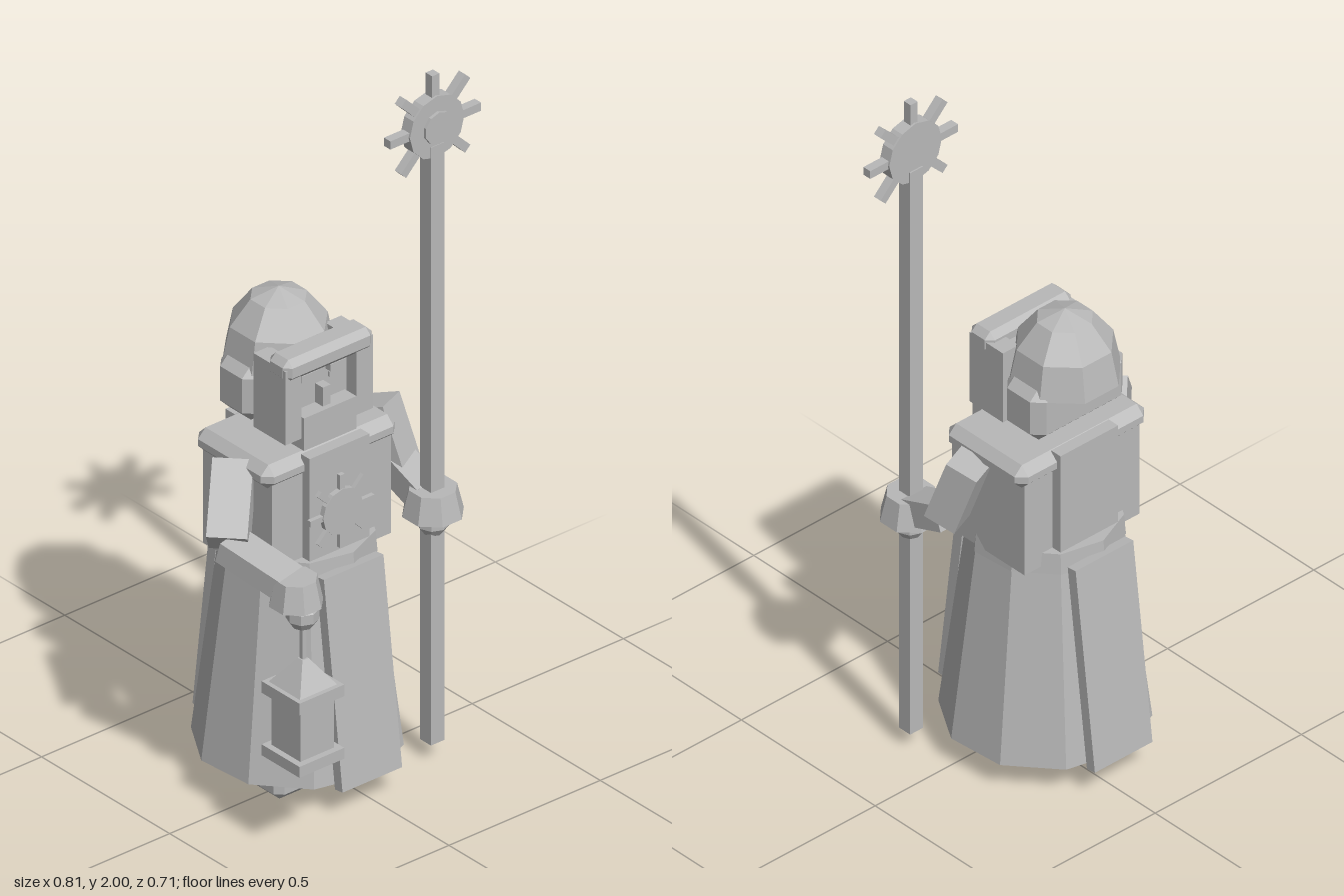
import * as THREE from 'three';
import { ConvexGeometry } from 'three/addons/geometries/ConvexGeometry.js';

const stone = new THREE.MeshStandardMaterial({ color: 0xb8b8b8, flatShading: true, side: THREE.DoubleSide });
stone.name = 'stone grey';

const CX = -0.027; // centre line of the body

export function createModel() {
  const root = new THREE.Group();
  root.name = 'lanternBearer';

  const add = (name, geo, x = 0, y = 0, z = 0, parent = root) => {
    const m = new THREE.Mesh(geo, stone);
    m.name = name;
    m.position.set(x, y, z);
    parent.add(m);
    return m;
  };

  // Box given by its limits on each axis
  const box = (name, [x0, x1], [y0, y1], [z0, z1], parent) =>
    add(name, new THREE.BoxGeometry(x1 - x0, y1 - y0, z1 - z0),
      (x0 + x1) / 2, (y0 + y1) / 2, (z0 + z1) / 2, parent);

  // Box with every edge cut off by b
  const bevelBox = (name, [x0, x1], [y0, y1], [z0, z1], b) => {
    const h = [(x1 - x0) / 2, (y1 - y0) / 2, (z1 - z0) / 2];
    const pts = [];
    for (const sx of [-1, 1]) for (const sy of [-1, 1]) for (const sz of [-1, 1]) {
      for (let a = 0; a < 3; a++) {
        const e = h.map((v, i) => (i === a ? v : v - b));
        pts.push(new THREE.Vector3(sx * e[0], sy * e[1], sz * e[2]));
      }
    }
    return add(name, new ConvexGeometry(pts), (x0 + x1) / 2, (y0 + y1) / 2, (z0 + z1) / 2);
  };

  // Box running from point a to point b
  const limb = (name, a, b, w, d) => {
    const A = new THREE.Vector3(...a), B = new THREE.Vector3(...b);
    const m = add(name, new THREE.BoxGeometry(w, d, A.distanceTo(B)));
    m.position.copy(A).add(B).multiplyScalar(0.5);
    m.lookAt(B);
    return m;
  };

  // Sun: disc with eight rays, facing +z
  const sun = (name, x, y, z, r, rayOut, rayW, depth, bossR) => {
    const g = new THREE.Group();
    g.name = name;
    g.position.set(x, y, z);
    root.add(g);
    add('disc', new THREE.CylinderGeometry(r, r, depth, 12), 0, 0, 0, g).rotation.x = Math.PI / 2;
    if (bossR) {
      add('boss', new THREE.CylinderGeometry(bossR, bossR, 0.01, 10), 0, 0, depth / 2 + 0.004, g)
        .rotation.x = Math.PI / 2;
    }
    const inner = r * 0.95;
    for (let i = 0; i < 8; i++) {
      const t = i * Math.PI / 4, c = (inner + rayOut) / 2;
      add('ray', new THREE.BoxGeometry(rayOut - inner, rayW, depth * 0.7),
        Math.cos(t) * c, Math.sin(t) * c, 0, g).rotation.z = t;
    }
  };

  // Boots and legs
  for (const s of [-1, 1]) {
    const x = -0.029 + s * 0.099;
    bevelBox('boot', [x - 0.068, x + 0.068], [0, 0.075], [-0.125, 0.066], 0.02);
    box('leg', [x - 0.045, x + 0.045], [0.07, 0.6], [-0.115, -0.02]);
  }

  // Ten-sided open robe skirt and belt
  const twist = THREE.MathUtils.degToRad(4.7);
  add('skirt', new THREE.CylinderGeometry(0.2, 0.272, 0.58, 10, 1, true), CX, 0.37, -0.06).rotation.y = twist;
  add('belt', new THREE.CylinderGeometry(0.2, 0.205, 0.06, 10), CX, 0.67, -0.06).rotation.y = twist;

  // Torso and shoulder yoke
  box('torso', [-0.225, 0.168], [0.66, 0.97], [-0.195, 0.075]);
  bevelBox('shoulders', [-0.248, 0.195], [0.93, 1.0], [-0.212, 0.083], 0.025);

  // Tabard, upper and hanging panels
  const tab = [-0.125, 0.072];
  box('frontTabard', tab, [0.66, 1.0], [0.07, 0.104]);
  box('backTabard', tab, [0.64, 1.0], [-0.225, -0.19]);
  limb('frontPanel', [CX, 0.67, 0.145], [CX, 0.08, 0.218], 0.197, 0.03);
  limb('backPanel', [CX, 0.67, -0.266], [CX, 0.08, -0.338], 0.197, 0.03);
  sun('chestSun', CX, 0.817, 0.11, 0.066, 0.106, 0.016, 0.018);

  // Neck, face and beard
  box('neck', [-0.09, 0.035], [0.98, 1.06], [-0.12, 0]);
  box('face', [-0.13, 0.075], [1.03, 1.24], [-0.12, 0.025]);
  box('beard', [-0.115, 0.058], [1.005, 1.1], [0, 0.07]);
  box('nose', [CX - 0.013, CX + 0.013], [1.09, 1.155], [0.02, 0.055]);
  for (const s of [-1, 1]) {
    const x = CX + s * 0.047;
    box('eye', [x - 0.018, x + 0.018], [1.16, 1.175], [0.024, 0.032]);
    box('eyebrow', [x - 0.026, x + 0.026], [1.185, 1.205], [0.02, 0.045]);
    // Hood cheek
    const c = CX + s * 0.118;
    box('hoodCheek', [c - 0.027, c + 0.027], [1.04, 1.255], [-0.06, 0.064]);
  }

  // Hood: brow, back and dome
  bevelBox('hoodBrow', [-0.173, 0.12], [1.215, 1.28], [-0.012, 0.073], 0.018);
  bevelBox('hoodBack', [-0.185, 0.131], [1.04, 1.2], [-0.205, -0.06], 0.03);
  const dome = add('hoodDome', new THREE.SphereGeometry(0.15, 8, 3, 0, Math.PI * 2, 0, Math.PI / 2), CX, 1.168, -0.133);
  dome.scale.y = 1.31;
  dome.rotation.y = Math.PI / 8;

  // Arms
  limb('rightUpperArm', [-0.235, 0.955, -0.06], [-0.345, 0.81, 0.045], 0.105, 0.1);
  limb('rightForearm', [-0.345, 0.81, 0.05], [-0.297, 0.755, 0.25], 0.1, 0.06);
  limb('leftUpperArm', [0.232, 0.965, -0.058], [0.255, 0.785, 0], 0.09, 0.09);
  limb('leftForearm', [0.255, 0.8, -0.01], [0.255, 0.755, 0.11], 0.085, 0.075);

  // Gloves: flared cuff over a small fist
  const glove = (name, x, z, r, fistZ) => {
    add(name + 'Cuff', new THREE.CylinderGeometry(r * 0.78, r, 0.075, 8), x, 0.752, z).rotation.y = Math.PI / 8;
    add(name + 'Fist', new THREE.SphereGeometry(0.045, 8, 5), x, 0.695, fistZ);
  };
  glove('rightHand', -0.298, 0.255, 0.072, 0.28);
  glove('leftHand', 0.256, 0.135, 0.082, 0.135);

  // Staff with sun head
  box('staff', [0.231, 0.275], [0.05, 1.8], [0.115, 0.157]);
  sun('staffSun', 0.253, 1.852, 0.137, 0.09, 0.15, 0.024, 0.036, 0.046);

  // Lantern hung from the right hand
  const lx = -0.299, lz = 0.283;
  const span = (c, h) => [c - h, c + h];
  box('lanternHook', span(lx, 0.006), [0.55, 0.68], span(lz, 0.006));
  add('lanternRoof', new THREE.CylinderGeometry(0.014, 0.088, 0.075, 4), lx, 0.528, lz).rotation.y = Math.PI / 4;
  box('lanternCap', span(lx, 0.074), [0.458, 0.492], span(lz, 0.074));
  box('lanternGlass', span(lx, 0.056), [0.3, 0.46], span(lz, 0.056));
  box('lanternBase', span(lx, 0.074), [0.275, 0.307], span(lz, 0.074));

  return root;
}
